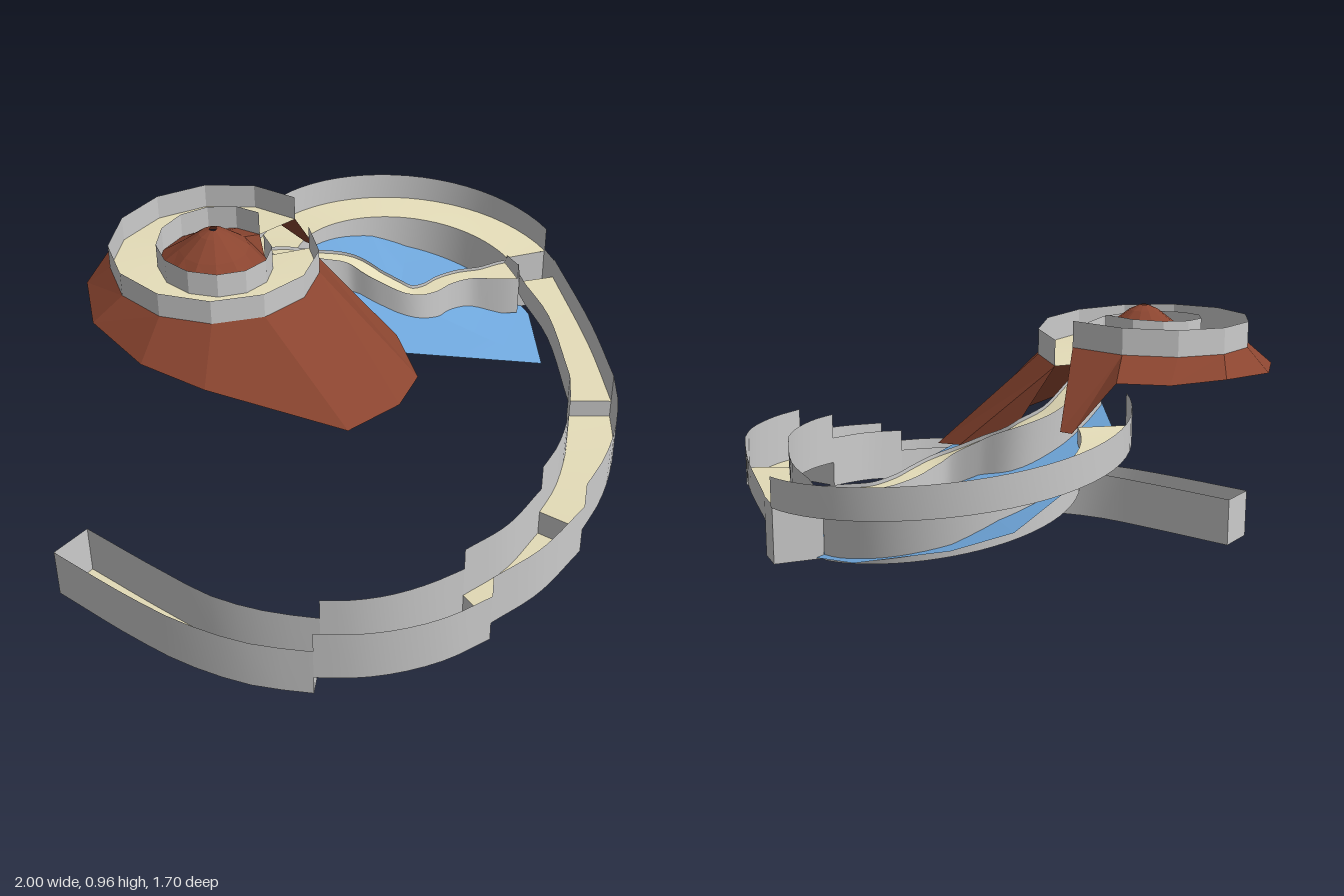
import * as THREE from 'three';

const mat = (color, flatShading = false) =>
  new THREE.MeshStandardMaterial({ color, flatShading, side: THREE.DoubleSide });
const GREY = mat(0xcccccc), GREY_FLAT = mat(0xcccccc, true);
const SAND = mat(0xe4dcb8), ROCK = mat(0x8b4530, true), WATER = mat(0x70a8dd);
const { lerp, degToRad, smoothstep } = THREE.MathUtils;

// Strip of quads joining two rails of equal length
function ribbon(name, a, b, material) {
  const pos = [], idx = [];
  a.forEach((p, i) => {
    pos.push(...p, ...b[i]);
    if (i) { const k = 2 * i; idx.push(k - 2, k - 1, k, k - 1, k + 1, k); }
  });
  const g = new THREE.BufferGeometry();
  g.setAttribute('position', new THREE.Float32BufferAttribute(pos, 3));
  g.setIndex(idx);
  g.computeVertexNormals();
  const m = new THREE.Mesh(g, material);
  m.name = name;
  return m;
}

// Smooth plan curve through [x, z] points, resampled to n + 1 points
function plan(points, n) {
  const c = new THREE.CatmullRomCurve3(points.map(([x, z]) => new THREE.Vector3(x, 0, z)));
  return c.getSpacedPoints(n).map(p => [p.x, p.z]);
}
// Plan arc about (cx, cz), from angle a to angle b in degrees
function arc(cx, cz, r, a, b, n) {
  return Array.from({ length: n + 1 }, (_, k) => {
    const t = degToRad(lerp(a, b, k / n));
    return [cx + r * Math.cos(t), cz + r * Math.sin(t)];
  });
}
// Lift a plan curve to heights running from y0 to y1
const lift = (pts, y0, y1) =>
  pts.map(([x, z], i) => [x, lerp(y0, y1, i / (pts.length - 1)), z]);

// Channel: floor between two upright walls
function channel(name, outer, inner, floor, top, wall = GREY, bed = SAND) {
  const g = new THREE.Group();
  g.name = name;
  const fo = lift(outer, ...floor), fi = lift(inner, ...floor);
  g.add(ribbon('floor', fo, fi, bed),
    ribbon('outerWall', fo, lift(outer, ...top), wall),
    ribbon('innerWall', fi, lift(inner, ...top), wall));
  return g;
}

// Upright panel across a channel, between two [x, z] points
function riser(name, o, i, y0, y1) {
  return ribbon(name, [[o[0], y0, o[1]], [i[0], y0, i[1]]],
    [[o[0], y1, o[1]], [i[0], y1, i[1]]], GREY_FLAT);
}

export function createModel() {
  const model = new THREE.Group();

  // Stepped lower track
  const steps = [
    { o: [[-1, -.45], [-1, -.13], [-.985, .075], [-.93, .29], [-.845, .455]],
      i: [[-.86, -.45], [-.86, -.13], [-.85, .075], [-.8, .245], [-.73, .385]],
      floor: [0, .015], top: [.17, .185] },
    { o: [[-.845, .455], [-.77, .565], [-.68, .655], [-.57, .73], [-.435, .785]],
      i: [[-.73, .385], [-.665, .475], [-.585, .55], [-.49, .61], [-.39, .655]],
      floor: [.08, .115], top: [.255, .285] },
    { o: [[-.435, .785], [-.265, .835], [-.05, .845]],
      i: [[-.39, .655], [-.24, .7], [-.06, .7]], floor: [.18, .22], top: [.36, .395] },
    { o: [[-.05, .845], [.08, .825], [.2, .787], [.32, .73], [.435, .645]],
      i: [[-.06, .7], [.04, .685], [.14, .652], [.245, .603], [.35, .535]],
      floor: [.305, .35], top: [.48, .51] },
    { o: [[.435, .645], [.64, .435], [.905, .12]],
      i: [[.35, .535], [.6, .29], [.74, .085], [.8, .04]], floor: [.41, .45], top: [.51, .525] },
  ];
  let below = 0;
  steps.forEach((s, k) => {
    model.add(channel('trackStep' + (k + 1), plan(s.o, 10), plan(s.i, 10), s.floor, s.top));
    model.add(riser('stepRiser' + (k + 1), s.o[0], s.i[0], below, k ? s.floor[0] : s.top[0]));
    below = s.floor[1];
  });

  // Deep gap where the water drains across the track
  const drainOut = [[.905, .12], [.95, .05]], drainIn = [[.8, .04], [.83, -.03]];
  model.add(channel('drain', drainOut, drainIn, [.345, .345], [.52, .52], GREY, WATER),
    riser('drainFrontPanel', drainOut[0], drainIn[0], .345, .45),
    riser('drainBackPanel', drainOut[1], drainIn[1], .345, .51));

  // Raised round bend beside the pond, with a basin wall below its inner edge
  const bendOut = arc(.455, -.17, .545, 24, -135, 28);
  const bendIn = arc(.455, -.17, .4, 20.5, -135, 28);
  const bend = new THREE.Group();
  bend.name = 'pondBend';
  const bo = lift(bendOut, .51, .65), bi = lift(bendIn, .51, .65);
  bend.add(ribbon('floor', bo, bi, SAND),
    ribbon('outerWall', bo, lift(bendOut, .6, .75), GREY),
    ribbon('basinWall', lift(bendIn, .34, .52), bi, GREY));
  model.add(bend);

  // Pond: a sloping fan of water
  const shore = [[-.06, .7, -.38], [.08, .53, .02], [.6, .31, .28], [.79, .345, .1],
    [.85, .35, -.02], [.88, .375, -.18], [.8, .44, -.45], [.75, .51, -.62], [.17, .61, -.6],
    [-.06, .7, -.38]];
  model.add(ribbon('pond', shore, shore.map(() => [.42, .48, -.2]), WATER));

  // Winding path over the pond, widening where it meets the track
  const path = new THREE.CatmullRomCurve3([[-.01, .79, -.39], [.09, .745, -.39], [.19, .69, -.37],
    [.285, .65, -.31], [.325, .6, -.21], [.385, .55, -.12], [.46, .53, -.1], [.54, .52, -.1],
    [.63, .51, -.075], [.7, .505, -.02], [.775, .5, .03]].map(p => new THREE.Vector3(...p)));
  const rails = [[], []];
  for (let k = 0; k <= 40; k++) {
    const p = path.getPointAt(k / 40), t = path.getTangentAt(k / 40);
    const d = (.034 + .03 * smoothstep(k, 34, 40)) / Math.hypot(t.x, t.z);
    rails[0].push([p.x + t.z * d, p.y, p.z - t.x * d]);
    rails[1].push([p.x - t.z * d, p.y, p.z + t.x * d]);
  }
  const winding = new THREE.Group();
  winding.name = 'windingPath';
  winding.add(ribbon('floor', rails[0], rails[1], SAND));
  const shift = (rail, dy) => rail.map(([x, y, z]) => [x, y + dy, z]);
  rails.forEach(r => winding.add(ribbon('edgeWall', shift(r, -.13), shift(r, .012), GREY)));
  model.add(winding);

  // Spiral lane round the summit
  const cx = -.222, cz = -.443, N = 12;
  const rim = arc(cx, cz, .327, 10, -336, N), hub = arc(cx, cz, .18, 10, -343, N);
  model.add(channel('summitLane', rim, hub, [.87, .8], [.95, .88], GREY_FLAT));

  // Summit cone rising from the lane's inner edge to an open tip
  const close = rail => [...rail, rail[0]];
  const tiers = [lift(hub, .87, .8),
    ...[[.11, .895], [.045, .945], [.012, .96]].map(([r, y]) =>
      lift(arc(cx, cz, r, 10, -343, N), y, y))].map(close);
  const cone = new THREE.Group();
  cone.name = 'summitCone';
  for (let k = 0; k < 3; k++) cone.add(ribbon('coneTier', tiers[k], tiers[k + 1], ROCK));
  model.add(cone);

  // Flared mountainside hanging from the spiral's rim, starting with a narrow spur
  const foot = [[.28, .66, -.46], [.28, .66, -.5], [.18, .8, -.585], [.075, .79, -.705],
    [-.05, .8, -.82], [-.27, .785, -.85], [-.48, .77, -.76], [-.61, .75, -.6], [-.64, .71, -.37],
    [-.57, .66, -.18], [-.3, .5, .15], [-.08, .485, .18], [.07, .49, .14], [.17, .53, -.02],
    [.13, .6, -.2]];
  const crest = lift(rim, .87, .8);
  crest.splice(1, 0, crest[1]);
  crest.push(crest[N + 1]);
  model.add(ribbon('mountainside', crest, foot, ROCK));

  return model;
}
